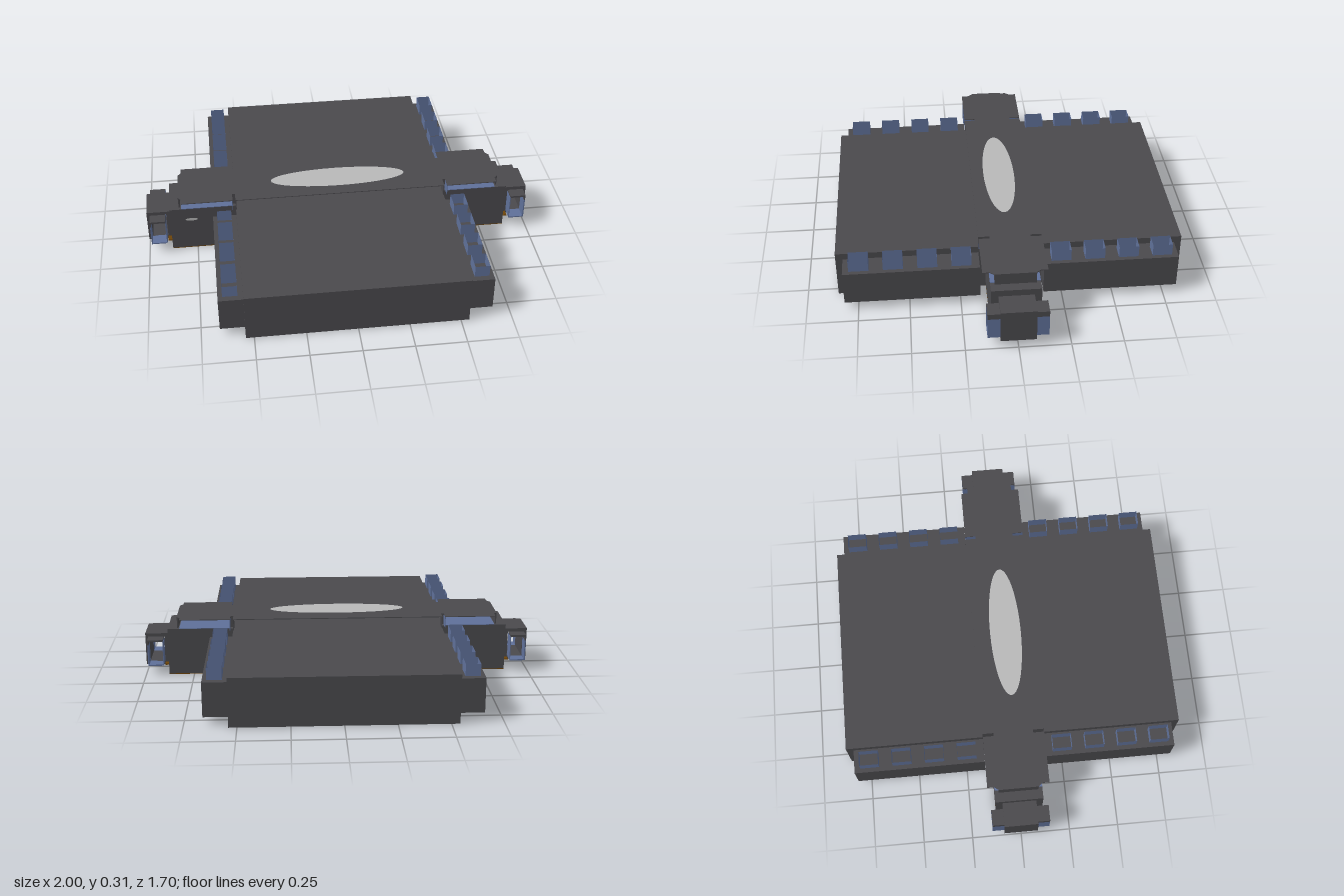
import * as THREE from 'three';

const mat = (name, color, side = THREE.FrontSide) => {
  const m = new THREE.MeshStandardMaterial({ side });
  m.color.set(color);
  m.name = name;
  return m;
};

export function createModel() {
  const dark = mat('charcoal', 0x4a494d, THREE.DoubleSide);
  const blue = mat('slate blue', 0x5f7099, THREE.DoubleSide);
  const grey = mat('light grey', 0xb8b8b8, THREE.DoubleSide);
  const brown = mat('brown', 0x6e4408);
  const group = new THREE.Group();

  const add = (name, geo, m) => {
    const mesh = new THREE.Mesh(geo, m);
    mesh.name = name;
    group.add(mesh);
    return mesh;
  };
  // Box given by its limits on each axis
  const box = (name, m, x0, x1, y0, y1, z0, z1) => {
    const mesh = add(name, new THREE.BoxGeometry(Math.abs(x1 - x0), y1 - y0, Math.abs(z1 - z0)), m);
    mesh.position.set((x0 + x1) / 2, (y0 + y1) / 2, (z0 + z1) / 2);
    return mesh;
  };

  // Main hull and the bar crossing it
  box('mainHull', dark, -0.54, 0.54, 0, 0.245, -0.85, 0.85);
  box('crossBar', dark, -0.88, 0.88, 0.002, 0.245, -0.12, 0.12);
  box('bottomStrip', brown, -0.88, 0.88, -0.002, 0.004, -0.12, 0.12);

  // Raised top plate, with small notches and narrowed ends
  const half = [[0, 0.155], [0.54, 0.155], [0.54, 0.1], [0.555, 0.1], [0.555, 0.155],
    [0.815, 0.155], [0.815, 0.12], [0.83, 0.1]];
  const outline = [
    ...half,
    ...half.slice().reverse().map(([x, z]) => [x, -z]),
    ...half.slice(1).map(([x, z]) => [-x, -z]),
    ...half.slice(1).reverse().map(([x, z]) => [-x, z]),
  ].map(([x, z]) => new THREE.Vector2(x, z));
  const plateGeo = new THREE.ExtrudeGeometry(new THREE.Shape(outline), { depth: 0.004, bevelEnabled: false });
  plateGeo.rotateX(Math.PI / 2);
  add('topPlate', plateGeo, dark).position.y = 0.305;
  const lining = add('topPlateLining', new THREE.PlaneGeometry(1.62, 0.2), blue);
  lining.rotation.x = Math.PI / 2;
  lining.position.y = 0.3;

  // Pale oval on the plate and a small one on the front of the bar
  const oval = add('topOval', new THREE.CircleGeometry(1, 40), grey);
  oval.scale.set(0.35, 0.08, 1);
  oval.rotation.x = -Math.PI / 2;
  oval.position.set(0, 0.307, 0.01);
  const spot = add('frontOval', new THREE.CircleGeometry(1, 20), grey);
  spot.scale.set(0.032, 0.008, 1);
  spot.position.set(-0.77, 0.18, 0.122);

  for (const s of [-1, 1]) {
    // End wall under the plate, and deck lining beside it
    box('plateEndWall', dark, s * 0.825, s * 0.832, 0.245, 0.305, -0.1, 0.1);
    box('deckLining', blue, s * 0.555, s * 0.82, 0.245, 0.248, -0.12, 0.12);

    for (const f of [-1, 1]) {
      // Posts on both sides of each notch
      box('notchPost', dark, s * 0.536, s * 0.54, 0.245, 0.302, f * 0.1, f * 0.155);
      box('notchPost', blue, s * 0.555, s * 0.558, 0.245, 0.302, f * 0.1, f * 0.155);
      box('notchBack', dark, s * 0.536, s * 0.558, 0.245, 0.302, f * 0.096, f * 0.1);

      // Side wing with four open square sockets
      box('sideWing', dark, s * 0.54, s * 0.66, 0.04, 0.212, f * 0.155, f * 0.815);
      for (let i = 0; i < 4; i++) {
        const geo = new THREE.CylinderGeometry(Math.SQRT1_2, Math.SQRT1_2, 1, 4, 1, true)
          .rotateY(Math.PI / 4).toNonIndexed();
        geo.computeVertexNormals();
        const socket = add('socket', geo, blue);
        socket.scale.set(0.072, 0.062, 0.096);
        socket.position.set(s * 0.602, 0.241, f * (0.242 + i * 0.165));
      }

      // Open sleeve reaching out of the end frame
      box('sleeveTop', dark, s * 0.905, s * 0.985, 0.184, 0.194, f * 0.08, f * 0.145);
      box('sleeveLip', dark, s * 0.979, s * 0.985, 0.165, 0.184, f * 0.08, f * 0.145);
      box('sleeveOuterWall', blue, s * 0.979, s * 0.985, 0.06, 0.165, f * 0.08, f * 0.145);
      box('sleeveInnerWall', blue, s * 0.903, s * 0.907, 0.06, 0.184, f * 0.08, f * 0.145);
      box('sleeveFloor', blue, s * 0.905, s * 0.985, 0.054, 0.06, f * 0.08, f * 0.145);
    }

    // Square end frame, open from front to back
    const frame = new THREE.Shape([[-0.06, 0.042], [0.06, 0.042], [0.06, 0.212], [-0.06, 0.212]]
      .map(([x, y]) => new THREE.Vector2(x, y)));
    frame.holes.push(new THREE.Path([[-0.038, 0.06], [-0.038, 0.194], [0.04, 0.194], [0.04, 0.06]]
      .map(([x, y]) => new THREE.Vector2(x, y))));
    const frameGeo = new THREE.ExtrudeGeometry(frame, { depth: 0.17, bevelEnabled: false });
    add('endFrame', frameGeo, dark).position.set(s * 0.94, 0, -0.085);
    box('endTab', brown, s * 0.88, s * 0.9, 0.05, 0.056, -0.12, 0.12);
  }

  return group;
}
